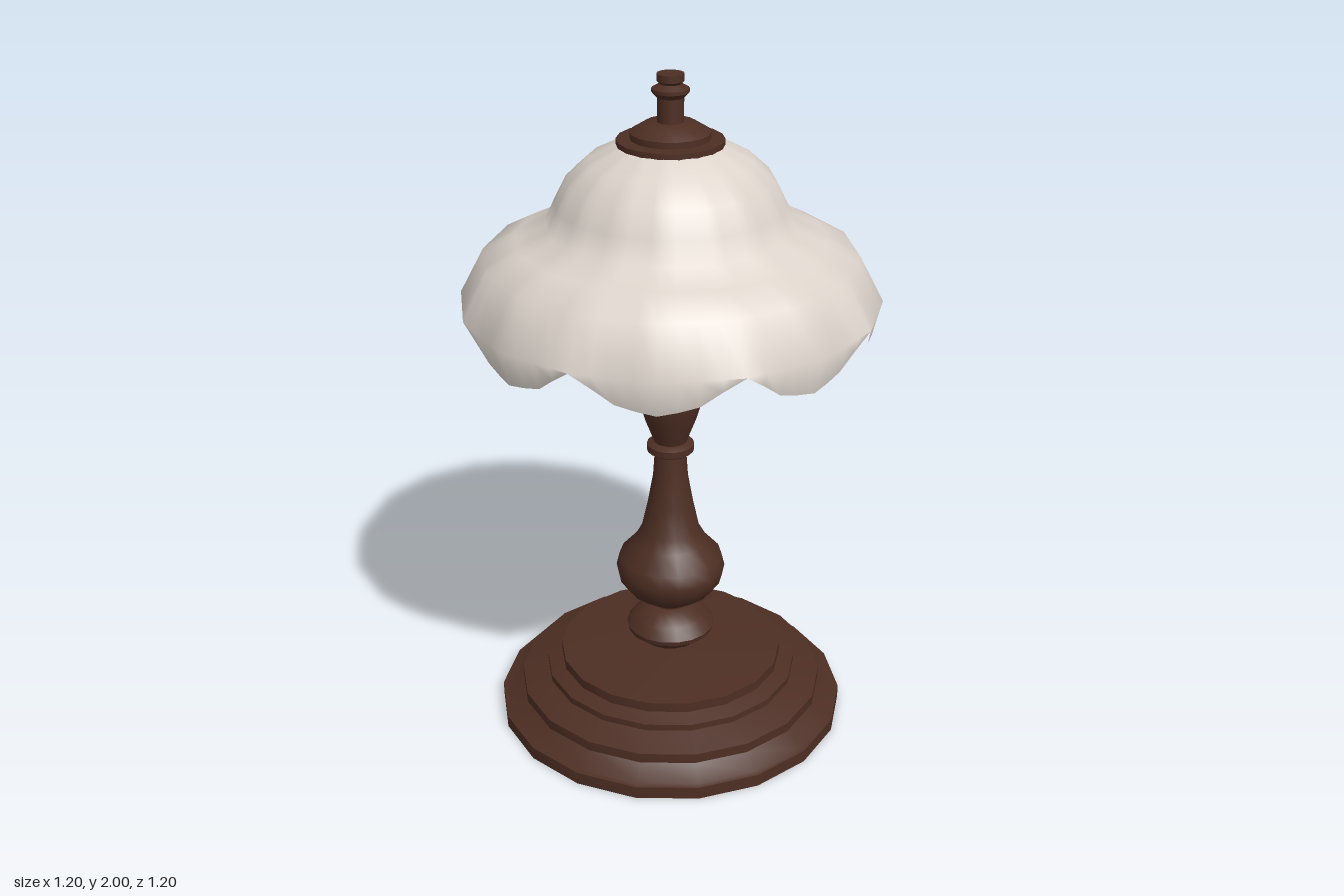
import * as THREE from 'three';
import { toCreasedNormals } from 'three/addons/utils/BufferGeometryUtils.js';

const wood = new THREE.MeshStandardMaterial({ color: 0x4d2e23 });
wood.name = 'dark wood';
const glass = new THREE.MeshStandardMaterial({ color: 0xdcd3cb, side: THREE.DoubleSide });
glass.name = 'milk glass';

// Turned part from [radius, height] pairs, listed bottom to top
function turned(name, profile, sides = 18) {
  const points = profile.map(([r, y]) => new THREE.Vector2(r, y));
  const lathe = new THREE.LatheGeometry(points, sides, Math.PI / 2);
  const mesh = new THREE.Mesh(toCreasedNormals(lathe, 0.6), wood);
  mesh.name = name;
  return mesh;
}

// Sixteen-sided bell with eight scallops cut into the rim
function shadeGeometry() {
  const sides = 16, sub = 4, count = sides * sub;
  const rows = [[0.15, 1.805], [0.23, 1.765], [0.29, 1.71], [0.325, 1.64],
    [0.353, 1.578], [0.44, 1.54], [0.53, 1.492], [0.6, 1.36]];
  const drops = [0, 0.04, 0.083, 0.097, 0.105]; // valley to lobe centre
  const positions = [], index = [];
  for (let i = 0; i <= rows.length; i++) {
    for (let j = 0; j < count; j++) {
      const k = j % (sub * 2);
      const drop = i === rows.length ? drops[Math.min(k, sub * 2 - k)] : 0;
      const [r0, y] = rows[Math.min(i, rows.length - 1)];
      const r = r0 - drop * 0.25;
      // Points between corners stay on the straight chord
      const a = Math.floor(j / sub) * 2 * Math.PI / sides;
      const b = a + 2 * Math.PI / sides;
      const t = (j % sub) / sub;
      positions.push(
        r * THREE.MathUtils.lerp(Math.cos(a), Math.cos(b), t),
        y - drop,
        r * THREE.MathUtils.lerp(Math.sin(a), Math.sin(b), t));
      if (i < rows.length) {
        const p = i * count + j, q = i * count + (j + 1) % count;
        index.push(p, q, p + count, q, q + count, p + count);
      }
    }
  }
  const geometry = new THREE.BufferGeometry();
  geometry.setAttribute('position', new THREE.Float32BufferAttribute(positions, 3));
  geometry.setIndex(index);
  geometry.computeVertexNormals();
  return geometry;
}

export function createModel() {
  const lamp = new THREE.Group();
  lamp.name = 'tableLamp';

  // Stepped base
  lamp.add(turned('base', [
    [0, 0], [0.53, 0], [0.53, 0.038], [0.515, 0.042], [0.515, 0.042], [0.465, 0.078],
    [0.465, 0.108], [0.385, 0.135], [0.385, 0.155], [0.34, 0.17], [0.34, 0.2],
    [0.1, 0.222], [0, 0.222]
  ].filter((p, i, all) => i === 0 || p.join() !== all[i - 1].join())));

  // Column: bun, vase, collar and cup
  lamp.add(turned('bun', [
    [0.05, 0.215], [0.09, 0.23], [0.132, 0.265], [0.135, 0.28], [0.11, 0.315],
    [0.07, 0.34], [0.05, 0.345], [0.05, 0.37]
  ]));
  lamp.add(turned('vase', [
    [0, 0.362], [0.07, 0.362], [0.13, 0.405], [0.158, 0.445], [0.165, 0.48], [0.155, 0.52],
    [0.11, 0.57], [0.088, 0.61], [0.068, 0.7], [0.052, 0.79], [0.046, 0.88]
  ]));
  lamp.add(turned('collar', [
    [0, 0.868], [0.06, 0.868], [0.07, 0.875], [0.07, 0.895], [0.05, 0.905], [0, 0.905]
  ]));
  lamp.add(turned('cup', [
    [0.048, 0.9], [0.055, 0.92], [0.078, 0.98], [0.092, 1.03], [0.094, 1.05],
    [0.078, 1.068], [0.04, 1.078], [0.04, 1.1]
  ]));
  lamp.add(turned('disc', [
    [0, 1.088], [0.06, 1.088], [0.11, 1.105], [0.12, 1.118], [0.12, 1.16], [0, 1.16]
  ]));
  lamp.add(turned('stem', [[0.05, 1.15], [0.05, 1.81]]));

  // Glass shade
  const shade = new THREE.Mesh(shadeGeometry(), glass);
  shade.name = 'shade';
  lamp.add(shade);

  // Cap and finial
  lamp.add(turned('cap', [
    [0, 1.803], [0.15, 1.803], [0.15, 1.82], [0.112, 1.822], [0.112, 1.84],
    [0.07, 1.866], [0, 1.87]
  ]));
  lamp.add(turned('finial', [
    [0.037, 1.86], [0.037, 1.935], [0.052, 1.95], [0.052, 1.96], [0.03, 1.972],
    [0.038, 1.98], [0.038, 2], [0, 2]
  ]));

  return lamp;
}
